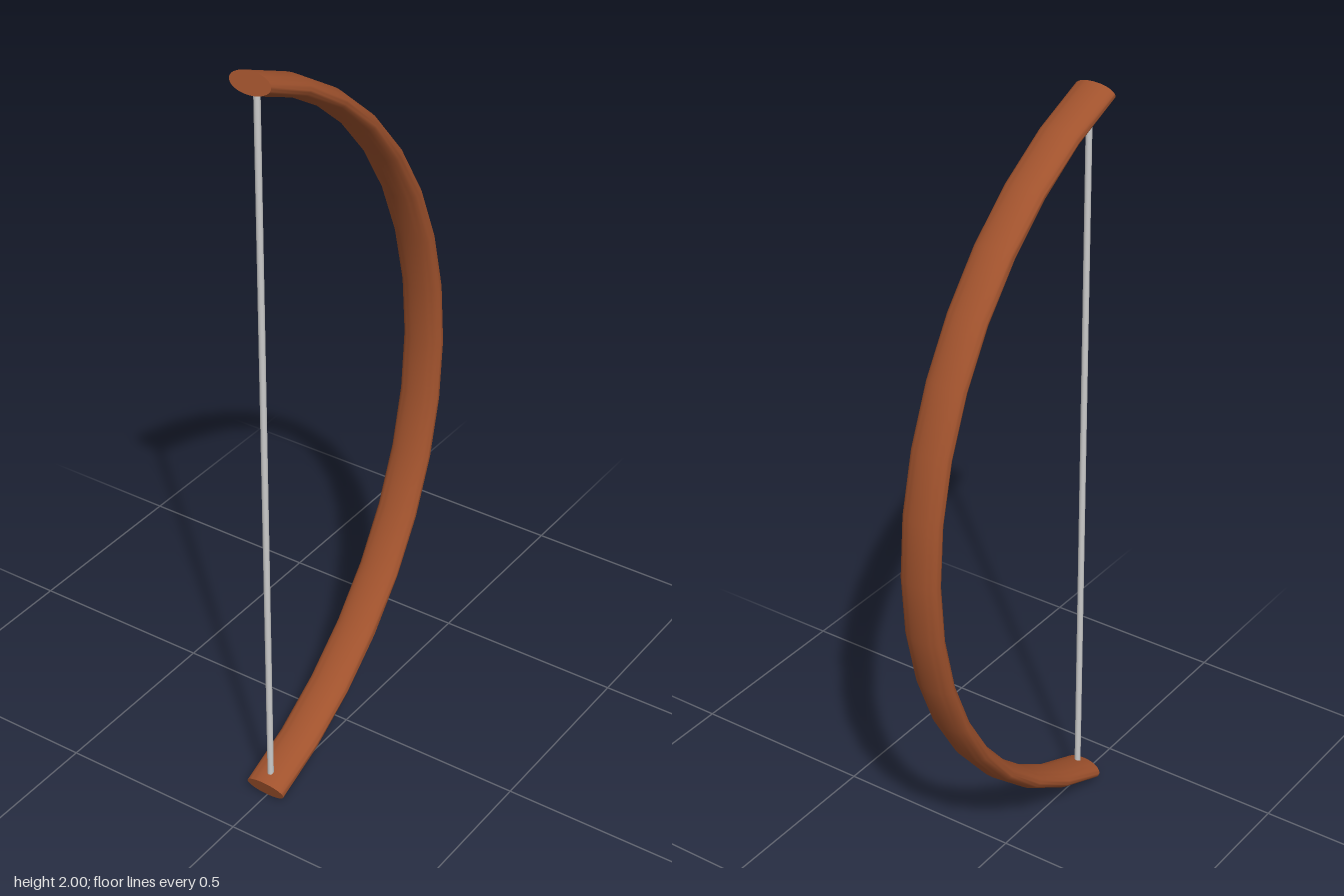
import * as THREE from 'three';
import { toCreasedNormals } from 'three/addons/utils/BufferGeometryUtils.js';

const R = 1.0275;          // radius of the bow's arc
const ARC_Z = 0.683;       // z of the arc's centre
const HALF_ANGLE = 1.253;  // half the arc's sweep
const HALF_WIDTH = 0.055, HALF_DEPTH = 0.026;

// Elliptical bar bent around the arc
function bowLimb() {
  const geo = new THREE.CylinderGeometry(1, 1, 1, 32, 16);
  const p = geo.attributes.position;
  for (let i = 0; i < p.count; i++) {
    const a = p.getY(i) * 2 * HALF_ANGLE;
    const r = R - p.getZ(i) * HALF_DEPTH;
    p.setXYZ(i, p.getX(i) * HALF_WIDTH, 1 + r * Math.sin(a), ARC_Z - r * Math.cos(a));
  }
  const mesh = new THREE.Mesh(
    toCreasedNormals(geo, Math.PI / 4),
    new THREE.MeshStandardMaterial({ color: 0xa0522d })
  );
  mesh.name = 'bowLimb';
  return mesh;
}

// Straight string joining the two tips
function bowString() {
  const mesh = new THREE.Mesh(
    new THREE.CylinderGeometry(0.008, 0.008, 1.93, 12),
    new THREE.MeshStandardMaterial({ color: 0xcccccc })
  );
  mesh.name = 'bowString';
  mesh.position.set(0, 1, 0.338);
  return mesh;
}

export function createModel() {
  const bow = new THREE.Group();
  bow.name = 'bow';
  bow.add(bowLimb(), bowString());
  return bow;
}
